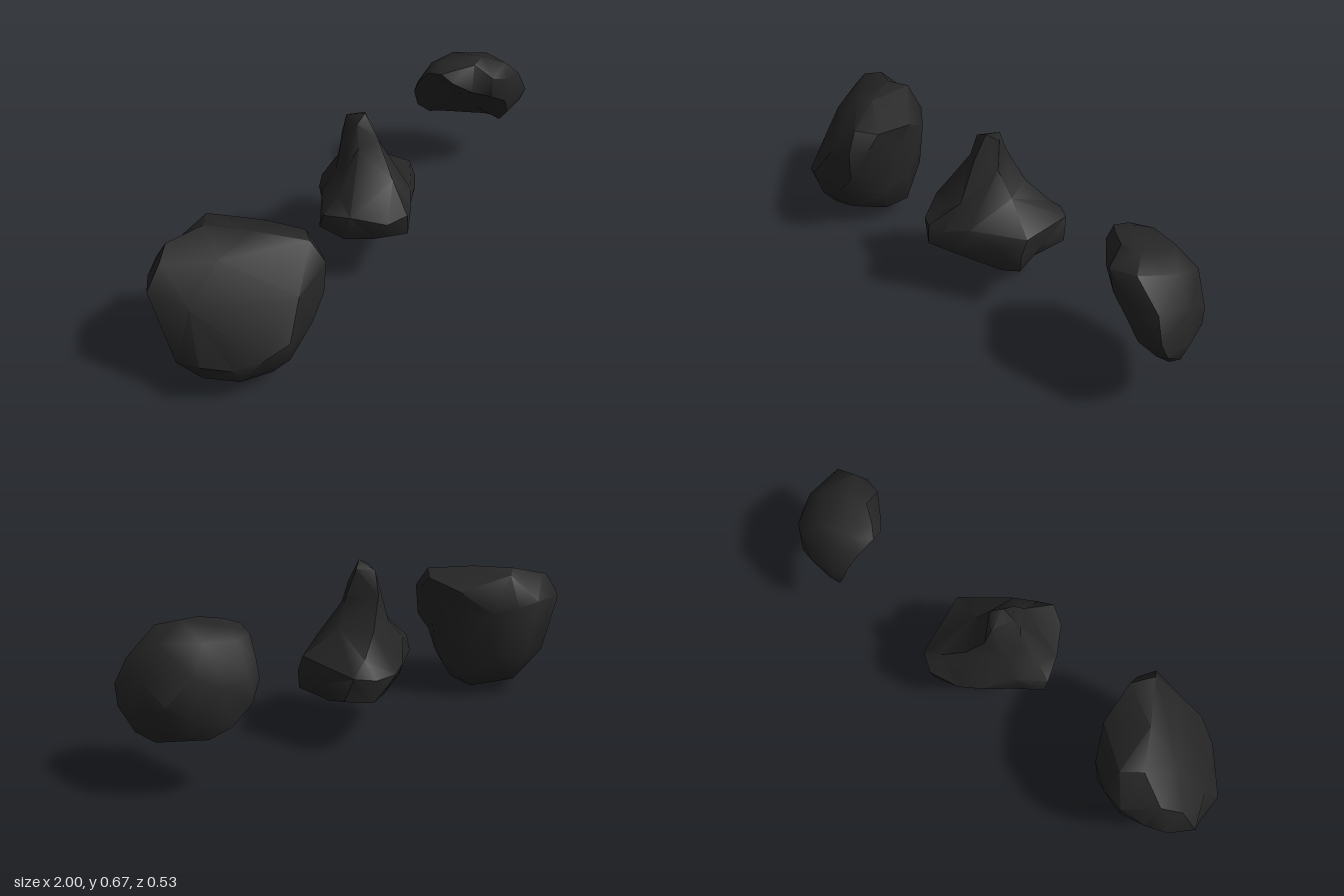
import * as THREE from 'three';
import { ConvexGeometry } from 'three/addons/geometries/ConvexGeometry.js';
import { toCreasedNormals } from 'three/addons/utils/BufferGeometryUtils.js';

const V = (p) => new THREE.Vector3(...p);

// Skin a rock: triangulate the corner directions seen from its core,
// then push every corner out to its true place, so hollows are kept.
function rock(name, core, corners, material) {
  const c = V(core);
  const points = corners.map(V);
  const dirs = points.map((p) => p.clone().sub(c).normalize());
  const geo = new ConvexGeometry(dirs);
  const pos = geo.attributes.position;
  const d = new THREE.Vector3();
  for (let i = 0; i < pos.count; i++) {
    d.fromBufferAttribute(pos, i);
    let best = 0;
    dirs.forEach((q, k) => {
      if (q.distanceToSquared(d) < dirs[best].distanceToSquared(d)) best = k;
    });
    pos.setXYZ(i, ...points[best].toArray());
  }
  const mesh = new THREE.Mesh(toCreasedNormals(geo, 0.85), material);
  mesh.name = name;
  return mesh;
}

// Blocky boulder, listed from the bottom ring up
const boulder = [
  [-0.62, 0.02, -0.02], [-0.73, 0, 0.04], [-0.85, 0.02, 0.03],
  [-0.76, 0.05, 0.17], [-0.57, 0.06, 0.05], [-0.73, 0.065, -0.165], [-0.95, 0.08, 0.02],
  [-0.88, 0.08, -0.1], [-0.9, 0.1, 0.15], [-0.63, 0.1, 0.18], [-0.55, 0.07, -0.05],
  [-0.75, 0.14, 0.243],
  [-0.77, 0.24, 0.265], [-0.62, 0.22, 0.24], [-0.52, 0.18, 0.1], [-0.53, 0.2, -0.05],
  [-0.6, 0.18, -0.17], [-0.74, 0.18, -0.22], [-0.9, 0.16, -0.17], [-1, 0.15, -0.05],
  [-1, 0.19, 0.06], [-0.93, 0.17, 0.15], [-0.86, 0.2, 0.22],
  [-0.535, 0.28, 0.13], [-0.55, 0.3, 0.235],
  [-0.5, 0.44, 0.17], [-0.54, 0.43, 0.24], [-0.53, 0.35, 0], [-0.57, 0.38, -0.17],
  [-0.66, 0.4, -0.24], [-0.75, 0.42, -0.263], [-0.85, 0.42, -0.255], [-0.93, 0.4, -0.22],
  [-1, 0.41, -0.15], [-0.95, 0.37, -0.01], [-0.68, 0.37, 0.235],
  [-0.5, 0.49, 0.12], [-0.56, 0.51, 0.19], [-0.51, 0.46, -0.05], [-0.67, 0.528, -0.18],
  [-0.74, 0.54, -0.13], [-0.86, 0.51, -0.19], [-0.93, 0.49, -0.15], [-0.66, 0.535, 0.02],
  [-0.8, 0.485, -0.01],
];

// Spiked rock: peak, shoulders, then blunt arms and underside
const spike = [
  [-0.05, 0.645, 0], [0, 0.67, 0], [0.04, 0.645, -0.03], [-0.01, 0.64, -0.08],
  [-0.065, 0.56, 0.02], [0.065, 0.54, 0], [0, 0.55, -0.11], [0, 0.58, 0.06],
  [0.12, 0.43, -0.02], [0, 0.42, 0.13], [-0.1, 0.47, -0.02], [0.06, 0.43, -0.15],
  [-0.08, 0.43, -0.08],
  [0.255, 0.335, 0.03], [0.25, 0.2, 0.06], [0.255, 0.27, 0.06], [0.24, 0.25, -0.08],
  [0.15, 0.29, -0.265], [0.22, 0.3, -0.22], [0.24, 0.21, -0.19], [0.15, 0.2, -0.25],
  [0.03, 0.28, -0.24], [0.05, 0.2, -0.2], [0.15, 0.35, -0.2],
  [-0.235, 0.33, -0.02], [-0.235, 0.27, -0.04], [-0.2, 0.23, 0.05], [-0.17, 0.39, 0],
  [-0.2, 0.34, 0.08], [-0.14, 0.2, -0.08], [-0.14, 0.36, -0.1], [-0.05, 0.29, -0.19],
  [-0.06, 0.34, 0.24], [-0.06, 0.26, 0.245], [-0.13, 0.32, 0.2], [0, 0.33, 0.215],
  [-0.14, 0.24, 0.15], [0.02, 0.22, 0.18], [0.08, 0.35, 0.16], [0.18, 0.29, 0.11],
  [0.17, 0.17, 0.08], [0.04, 0.135, 0.03], [0.17, 0.15, -0.02], [-0.02, 0.16, -0.02],
  [-0.14, 0.18, 0.01], [0.12, 0.17, -0.14],
];

// Curved shard: blunt rim, hollow inside, domed outside
const shard = [
  [0.59, 0.55, -0.05], [0.6, 0.52, 0], [0.6, 0.53, -0.12], [0.62, 0.46, -0.18],
  [0.63, 0.4, -0.21], [0.66, 0.32, -0.21], [0.74, 0.25, -0.2], [0.82, 0.22, -0.18],
  [0.88, 0.21, -0.11], [0.94, 0.2, -0.04], [0.98, 0.23, 0.02], [0.95, 0.21, 0.04],
  [0.99, 0.3, 0.11], [0.98, 0.37, 0.14],
  [0.66, 0.47, 0.06], [0.74, 0.43, 0.11], [0.82, 0.38, 0.13], [0.87, 0.3, 0.12],
  [0.91, 0.22, 0.06], [0.9, 0.4, 0.145], [0.8, 0.5, 0.145], [0.72, 0.53, 0.12],
  [0.72, 0.4, -0.05], [0.79, 0.34, -0.04], [0.85, 0.28, -0.03], [0.73, 0.33, -0.13],
  [0.63, 0.565, -0.01], [0.7, 0.575, 0.04], [0.78, 0.58, 0.03], [0.83, 0.555, 0.11],
  [0.9, 0.53, -0.02], [0.94, 0.46, 0.12], [0.97, 0.42, -0.02], [1, 0.31, 0],
  [0.98, 0.33, -0.08], [0.95, 0.35, -0.13], [0.88, 0.3, -0.19], [0.87, 0.45, -0.18],
  [0.78, 0.4, -0.225], [0.68, 0.42, -0.225], [0.68, 0.53, -0.16], [0.8, 0.54, -0.13],
  [0.66, 0.56, -0.1],
];

export function createModel() {
  const group = new THREE.Group();
  group.name = 'rocks';
  const stone = new THREE.MeshStandardMaterial({ color: 0x262626 });
  group.add(
    rock('boulder', [-0.75, 0.28, 0], boulder, stone),
    rock('spikedRock', [0.01, 0.3, 0], spike, stone),
    rock('curvedShard', [0.83, 0.43, -0.03], shard, stone),
  );
  return group;
}
